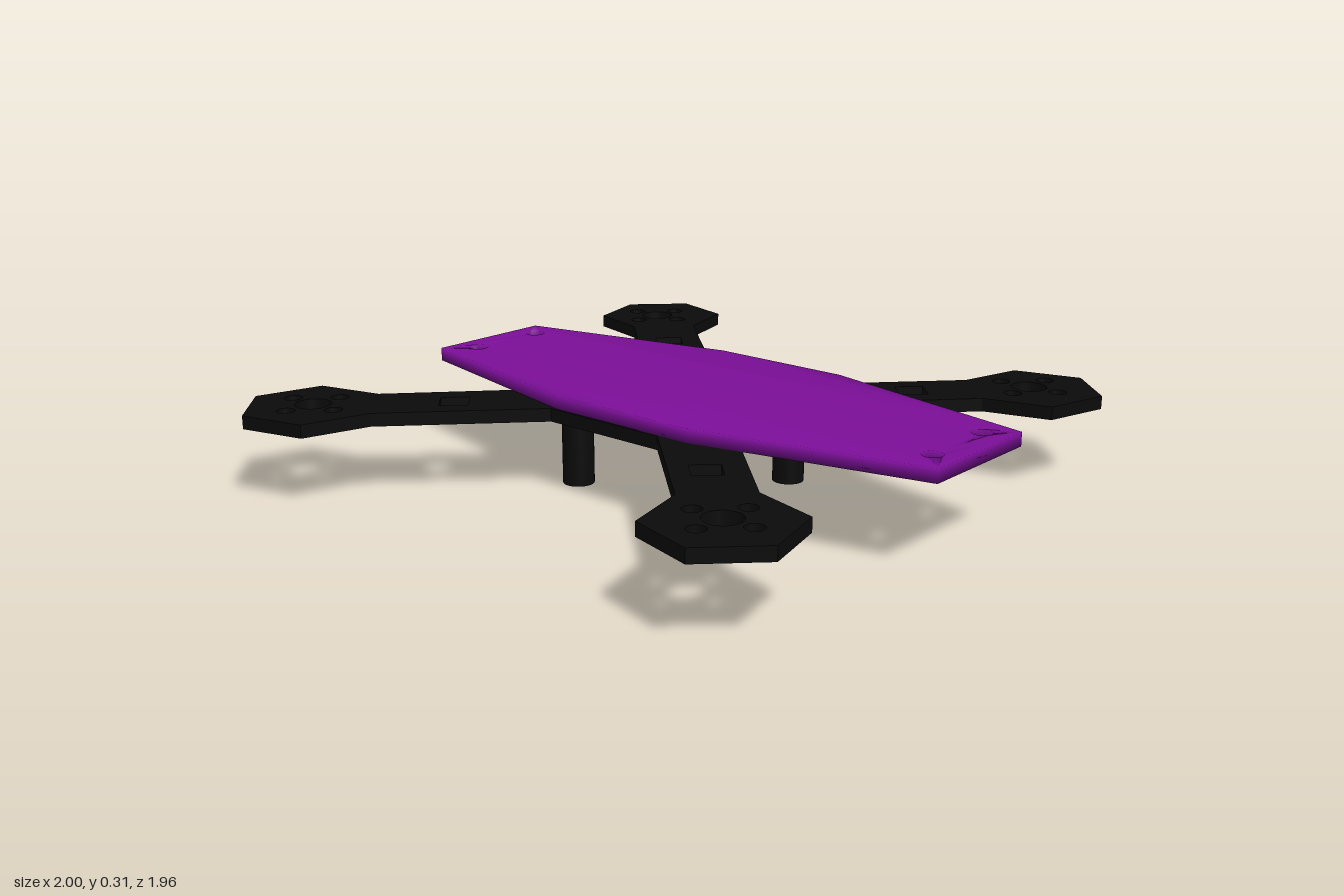
import * as THREE from 'three';
import { mergeVertices } from 'three/addons/utils/BufferGeometryUtils.js';

const black = new THREE.MeshStandardMaterial({ color: 0x0b0b0b });
const purple = new THREE.MeshStandardMaterial({ color: 0x7d0f9a });

// Plan outlines are drawn as (x, -z) and extruded upwards
const plan = (x, z) => new THREE.Vector2(x, -z);
const polar = (c, r, a) => new THREE.Vector2(c.x + r * Math.cos(a), c.y + r * Math.sin(a));

// Closed regular polygon used for round and square cut-outs
function cutOut(c, r, sides) {
  const pts = [];
  for (let i = 0; i < sides; i++) pts.push(polar(c, r, -i / sides * Math.PI * 2));
  return new THREE.Path(pts);
}

function plate(shape, y0, y1) {
  return new THREE.ExtrudeGeometry(shape, { depth: y1 - y0, bevelEnabled: false })
    .rotateX(-Math.PI / 2).translate(0, y0, 0);
}

function named(name, geometry, material) {
  const mesh = new THREE.Mesh(geometry, material);
  mesh.name = name;
  return mesh;
}

// Cross frame: octagonal hub, four arms and hexagonal motor mounts in one outline
function frameGeometry() {
  const hub = plan(-0.01, -0.02);
  const arms = [ // mount, motor hole centre, slot; counter-clockwise from the back left
    { mount: plan(0.728, -0.782), motor: plan(0.712, -0.788), slot: plan(0.465, -0.515) },
    { mount: plan(-0.797, -0.783), motor: plan(-0.803, -0.768), slot: plan(-0.51, -0.505) },
    { mount: plan(-0.778, 0.775), motor: plan(-0.782, 0.767), slot: plan(-0.49, 0.475) },
    { mount: plan(0.758, 0.726), motor: plan(0.752, 0.723), slot: plan(0.49, 0.475) },
  ];
  const outline = [], holes = [];
  arms.forEach(({ mount, motor, slot }, i) => {
    const a = Math.PI / 4 + i * Math.PI / 2, step = Math.PI / 3;
    outline.push(polar(hub, 0.417, a - Math.PI / 12));
    for (let k = 0; k < 6; k++) outline.push(polar(mount, 0.21, a + (k - 2.5) * step));
    outline.push(polar(hub, 0.417, a + Math.PI / 12));
    holes.push(cutOut(motor, 0.054, 32), cutOut(slot, 0.061, 4));
    for (let k = 0; k < 4; k++) holes.push(cutOut(polar(motor, 0.097, k * Math.PI / 2), 0.027, 20));
  });
  const shape = new THREE.Shape(outline);
  shape.holes = holes;
  return plate(shape, 0.225, 0.265);
}

// Long tapered cover with a screw hole near each corner, softly shaded
function coverGeometry() {
  const shape = new THREE.Shape([
    plan(-0.89, 0.18), plan(-0.2, 0.335), plan(0.3, 0.335), plan(1, 0.18),
    plan(1, -0.235), plan(0.28, -0.395), plan(-0.18, -0.395), plan(-0.89, -0.24),
  ]);
  shape.holes = [[-0.812, -0.165], [-0.81, 0.09], [0.922, -0.16], [0.925, 0.09]]
    .map(([x, z]) => cutOut(plan(x, z), 0.03, 20));
  const g = plate(shape, 0.265, 0.306);
  g.deleteAttribute('normal');
  g.deleteAttribute('uv');
  const smooth = mergeVertices(g, 1e-4);
  smooth.computeVertexNormals();
  return smooth;
}

export function createModel() {
  const model = new THREE.Group();
  model.name = 'quadcopterFrame';
  model.add(named('crossFrame', frameGeometry(), black));
  model.add(named('topCover', coverGeometry(), purple));

  // Four round standing legs under the hub
  const legGeometry = new THREE.CylinderGeometry(0.048, 0.048, 0.23, 32).translate(0, 0.115, 0);
  for (const [side, x] of [['Left', 0.222], ['Right', -0.243]]) {
    for (const [end, z] of [['front', 0.208], ['back', -0.225]]) {
      const leg = named(`${end}${side}Leg`, legGeometry, black);
      leg.position.set(x, 0, z);
      model.add(leg);
    }
  }
  return model;
}
